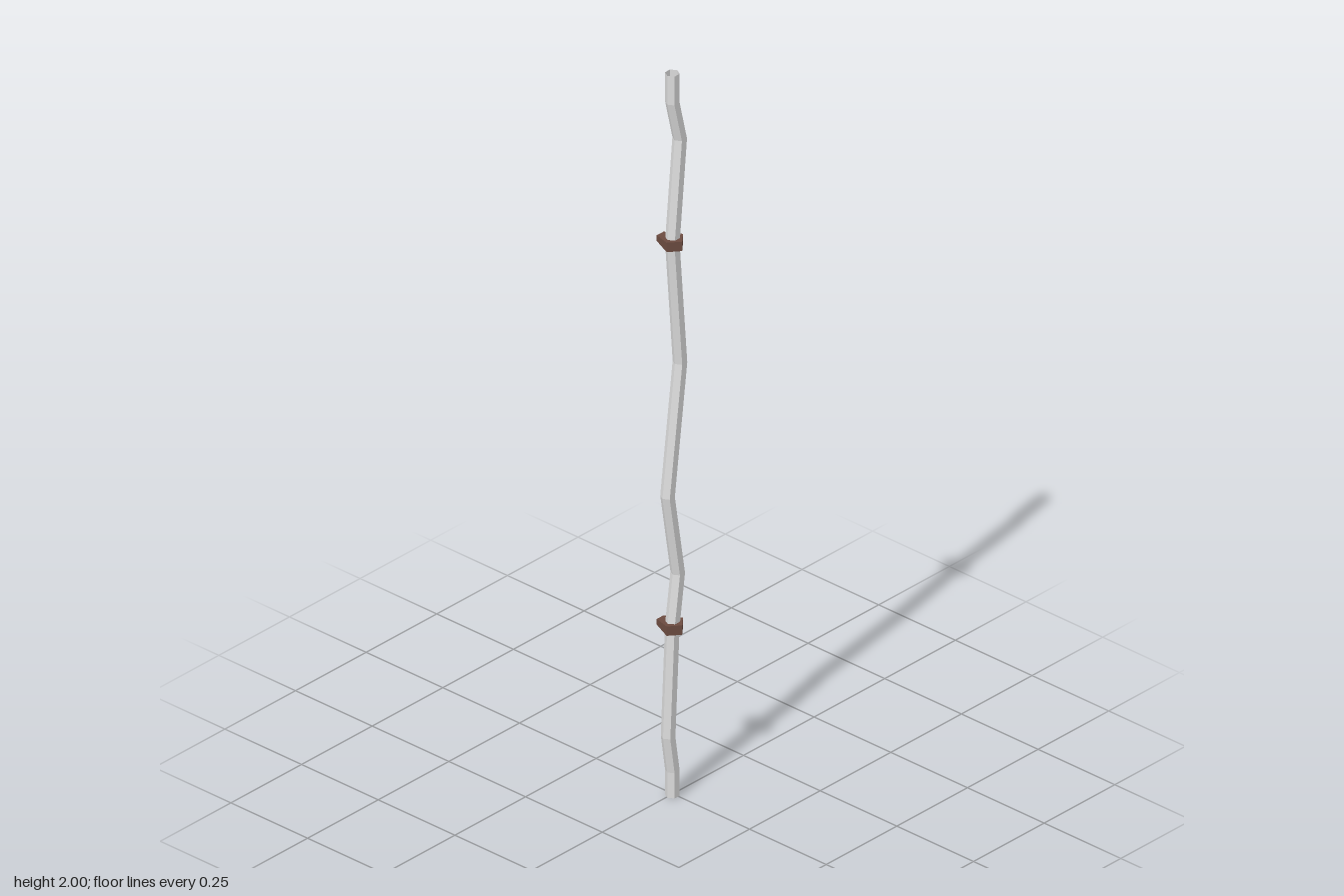
import * as THREE from 'three';

const grey = new THREE.MeshStandardMaterial({ color: 0xdcdcdc, side: THREE.DoubleSide });
grey.name = 'pale grey';
const brown = new THREE.MeshStandardMaterial({ color: 0x6d4c41 });
brown.name = 'leather brown';

// Split shared corners so every face is shaded flat
function faceted(geometry) {
  const flat = geometry.index ? geometry.toNonIndexed() : geometry;
  flat.computeVertexNormals();
  return flat;
}

// Crooked, open-ended six-sided shaft: each ring of a cylinder is moved to a bend point
function makeShaft() {
  const bends = [ // [x, y] from top to bottom
    [-0.005, 2], [-0.005, 1.92], [0.021, 1.81], [-0.005, 1.53], [0.022, 1.19],
    [-0.022, 0.835], [0.014, 0.61], [-0.005, 0.47], [-0.02, 0.17], [-0.005, 0.07], [-0.005, 0],
  ];
  const steps = bends.length - 1;
  const geometry = new THREE.CylinderGeometry(0.018, 0.018, steps, 6, steps, true, Math.PI / 6);
  const p = geometry.attributes.position;
  for (let i = 0; i < p.count; i++) {
    const [x, y] = bends[Math.round(steps / 2 - p.getY(i))];
    p.setXYZ(i, p.getX(i) + x, y, p.getZ(i) + 0.003);
  }
  const mesh = new THREE.Mesh(faceted(geometry), grey);
  mesh.name = 'shaft';
  return mesh;
}

// Five-sided binding, thinner along its back edge
function makeBinding(y) {
  const outline = [[0, -0.036], [0.029, -0.012], [0.012, 0.036], [-0.012, 0.036], [-0.029, -0.012]];
  const shape = new THREE.Shape(outline.map(([x, v]) => new THREE.Vector2(x, v)));
  const geometry = new THREE.ExtrudeGeometry(shape, { depth: 0.026, bevelEnabled: false });
  geometry.translate(0, 0, -0.013).rotateX(-Math.PI / 2);
  const p = geometry.attributes.position;
  for (let i = 0; i < p.count; i++) {
    if (p.getZ(i) < -0.03) p.setY(i, p.getY(i) * 0.6);
  }
  const mesh = new THREE.Mesh(faceted(geometry), brown);
  mesh.position.set(-0.006, y, 0);
  return mesh;
}

export function createModel() {
  const model = new THREE.Group();
  model.name = 'crookedStaff';
  model.add(makeShaft());
  const lower = makeBinding(0.47);
  lower.name = 'lowerBinding';
  const upper = makeBinding(1.533);
  upper.name = 'upperBinding';
  model.add(lower, upper);
  return model;
}
